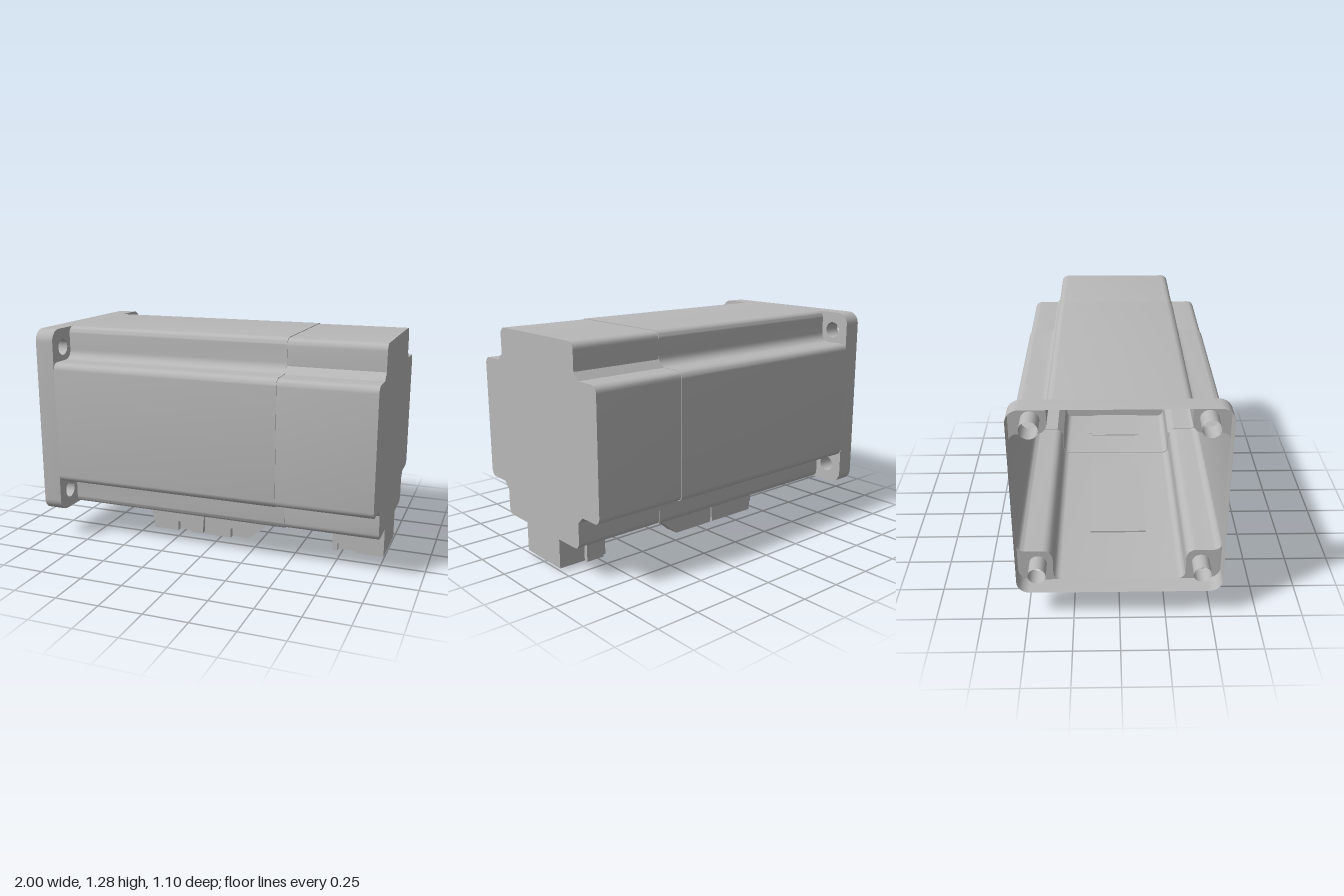
import * as THREE from 'three';
import { toCreasedNormals } from 'three/addons/utils/BufferGeometryUtils.js';

const CENTRE_Y = 0.73;
const V = (x, y) => new THREE.Vector2(x, y);

// Points on an arc
function arc(cx, cy, r, a0, a1, n = 6) {
  return Array.from({ length: n + 1 }, (_, i) => {
    const a = a0 + (a1 - a0) * i / n;
    return V(cx + r * Math.cos(a), cy + r * Math.sin(a));
  });
}

// One notched corner: rounded edge, concave inner corner, rounded edge
function notchedCorner(h, notch, inner, filleted) {
  const r = 0.04, n = 6, q = Math.PI / 2;
  const fillet = arc(notch + inner, notch + inner, inner, -q, -2 * q, n);
  const chamfer = fillet.map((_, i) => V(notch + inner * (1 - i / n), notch + inner * i / n));
  return [
    ...arc(h - r, notch - r, r, 0, q, n),
    ...(filleted ? fillet : chamfer),
    ...arc(notch - r, h - r, r, 0, q, n),
  ];
}

// Repeat a corner four times around the axis
function fourCorners(points) {
  const out = [];
  for (let k = 0; k < 4; k++) {
    for (const p of points) out.push(p.clone().rotateAround(V(0, 0), k * Math.PI / 2));
  }
  return out;
}

// Open skin through (z, y) loops placed along x
function skin(sections) {
  const pos = [];
  for (let s = 0; s < sections.length - 1; s++) {
    const [x0, a] = sections[s], [x1, b] = sections[s + 1];
    for (let i = 0; i < a.length; i++) {
      const j = (i + 1) % a.length;
      const A = [x0, a[i].y, a[i].x], B = [x0, a[j].y, a[j].x];
      const C = [x1, b[j].y, b[j].x], D = [x1, b[i].y, b[i].x];
      pos.push(...A, ...C, ...B, ...A, ...D, ...C);
    }
  }
  const geo = new THREE.BufferGeometry();
  geo.setAttribute('position', new THREE.Float32BufferAttribute(pos, 3));
  return toCreasedNormals(geo, 0.6);
}

export function createModel() {
  const model = new THREE.Group();
  const metal = new THREE.MeshStandardMaterial({ color: 0xb8b8b8, side: THREE.DoubleSide });
  metal.name = 'grey metal';

  function add(name, geo, parent = model) {
    const mesh = new THREE.Mesh(geo, metal);
    mesh.name = name;
    parent.add(mesh);
    return mesh;
  }

  // Motor housing and slightly smaller rear cap, one hollow skin
  const housing = new THREE.Group();
  housing.name = 'housing';
  housing.position.y = CENTRE_Y;
  model.add(housing);
  const corner = notchedCorner(0.55, 0.36, 0.055, true);
  const body = fourCorners(corner);
  const cap = fourCorners(notchedCorner(0.546, 0.357, 0.04, false));
  add('housingShell', skin([[-0.89, body], [0.46, body], [0.46, cap], [1, cap]]), housing);
  const endPlate = new THREE.ShapeGeometry(new THREE.Shape(cap));
  endPlate.rotateY(Math.PI / 2).translate(1, 0, 0);
  add('endPlate', endPlate, housing);

  // Mounting flange: rim, corner plates and bolt holes
  const rounded = arc(0.48, 0.48, 0.07, 0, Math.PI / 2, 8);
  const rim = fourCorners(rounded);
  add('flangeRim', skin([[-1, rim], [-0.89, rim]]), housing);
  const plate = new THREE.Shape([...corner, ...rounded.slice().reverse()]);
  const hole = new THREE.Path();
  hole.absarc(0.44, 0.44, 0.048, 0, Math.PI * 2);
  plate.holes.push(hole);
  const plateGeo = new THREE.ShapeGeometry(plate, 12).rotateY(Math.PI / 2).translate(-0.89, 0, 0);
  const tubeGeo = new THREE.CylinderGeometry(0.048, 0.048, 0.11, 24, 1, true);
  tubeGeo.rotateZ(Math.PI / 2).translate(-0.945, 0.44, -0.44);
  for (let k = 0; k < 4; k++) {
    add('flangeCorner', plateGeo, housing).rotation.x = k * Math.PI / 2;
    add('boltHole', tubeGeo, housing).rotation.x = k * Math.PI / 2;
  }

  // Connectors: side profiles extruded in slabs, some with a latch pocket
  function slab(name, outline, z0, z1) {
    const shape = new THREE.Shape(outline.map(([x, y]) => V(x, y)));
    const geo = new THREE.ExtrudeGeometry(shape, { depth: z1 - z0, bevelEnabled: false });
    add(name, geo.translate(0, 0, z0));
  }
  function connector(name, full, pocketed) {
    const cuts = [-0.165, -0.075, 0.075, 0.135, 0.165];
    for (let i = 0; i < 4; i++) slab(name, i % 2 ? pocketed : full, cuts[i], cuts[i + 1]);
  }
  const pocket = (x0, x1, y0) => [[x0, y0], [x0, 0.06], [x1, 0.06], [x1, y0]];

  const smallStart = [[-0.465, 0.19], [-0.465, 0.055], [-0.455, 0.055], [-0.455, 0]];
  const smallEnd = [[-0.125, 0], [-0.11, 0.19]];
  connector('signalConnector', [...smallStart, ...smallEnd],
    [...smallStart, ...pocket(-0.29, -0.2, 0), ...smallEnd]);

  const powerStart = [[-0.11, 0.19], [-0.11, 0]];
  const powerEnd = [[0.305, 0.115], [0.305, 0.19]];
  connector('powerConnector', [...powerStart, [0.17, 0], ...powerEnd],
    [...powerStart, [0.06, 0], [0.06, 0.06], [0.24, 0.06], ...powerEnd]);

  const rearStart = [[0.7, 0.19], [0.7, 0.015]];
  const rearEnd = [[1, 0.015], [1, 0.19]];
  connector('rearConnector', [...rearStart, ...rearEnd],
    [...rearStart, ...pocket(0.73, 0.84, 0.015), ...rearEnd]);
  slab('rearConnectorRib', [[0.73, 0.19], [0.73, 0.015], [0.84, 0.015], [0.84, 0.19]], -0.19, -0.165);

  return model;
}
